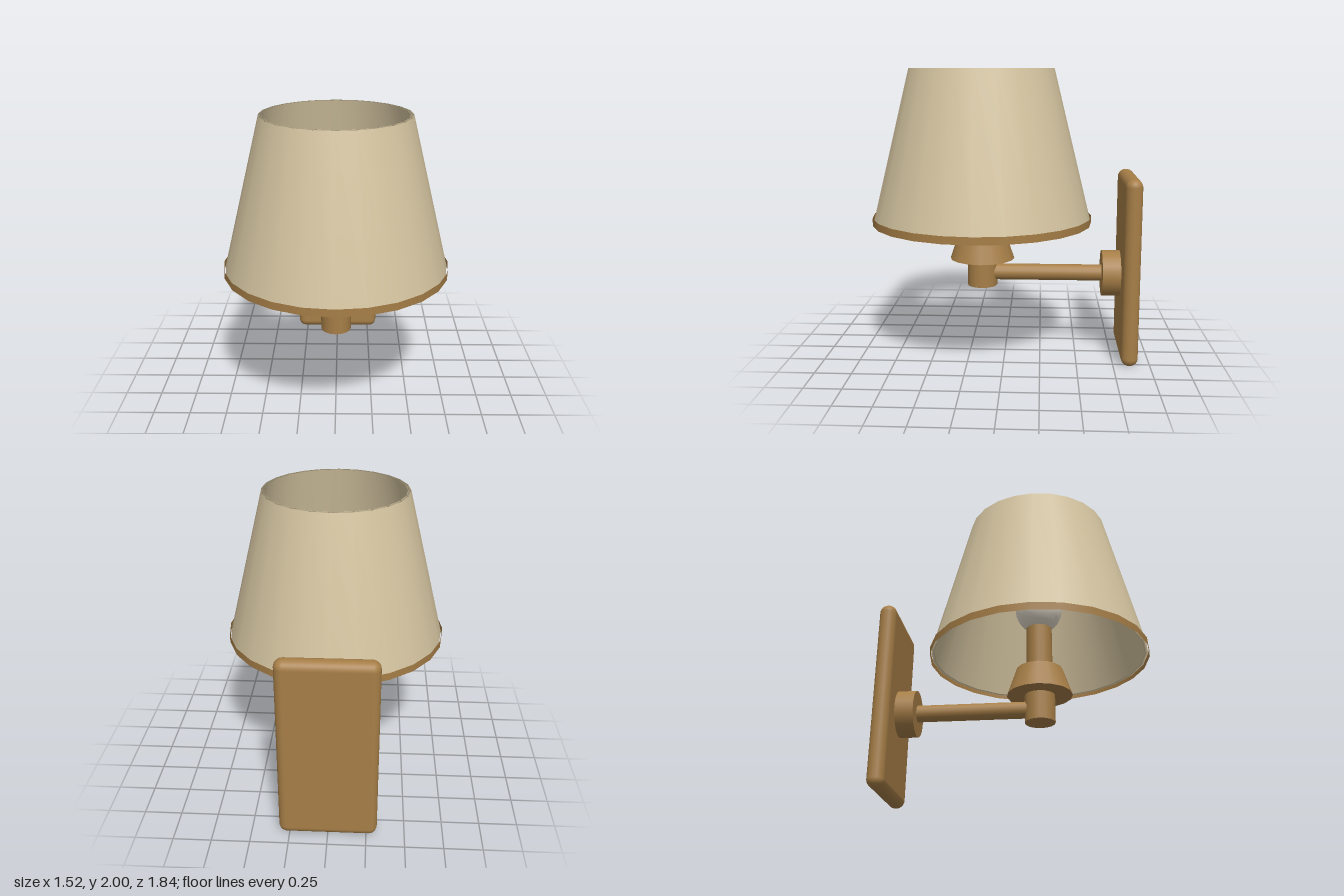
import * as THREE from 'three';
import { RoundedBoxGeometry } from 'three/addons/geometries/RoundedBoxGeometry.js';

const AXIS_Z = 0.16; // vertical axis of shade, bulb and socket
const ARM_Y = 0.585;

export function createModel() {
  const model = new THREE.Group();
  model.name = 'wallLamp';

  const brass = new THREE.MeshStandardMaterial({ color: 0xa67e47, side: THREE.DoubleSide });
  brass.name = 'brass';
  const linen = new THREE.MeshStandardMaterial({ color: 0xd4c4a0 });
  linen.name = 'linen';
  const glass = new THREE.MeshStandardMaterial({ color: 0xe8e0d0 });
  glass.name = 'bulb glass';

  const add = (name, geometry, material, x, y, z) => {
    const mesh = new THREE.Mesh(geometry, material);
    mesh.name = name;
    mesh.position.set(x, y, z);
    model.add(mesh);
    return mesh;
  };

  // Upright cylinder or cone on the lamp axis, between two heights
  const turned = (name, rTop, rBottom, y0, y1, sides = 16, open = false) =>
    add(name, new THREE.CylinderGeometry(rTop, rBottom, y1 - y0, sides, 1, open),
      brass, 0, (y0 + y1) / 2, AXIS_Z);

  // Cylinder lying along z, between two depths
  const lying = (name, radius, z0, z1, sides) => {
    const geometry = new THREE.CylinderGeometry(radius, radius, z1 - z0, sides);
    geometry.rotateX(Math.PI / 2);
    return add(name, geometry, brass, 0, ARM_Y, (z0 + z1) / 2);
  };

  // Wall mounting
  add('wallPlate', new RoundedBoxGeometry(0.64, 1.285, 0.115, 4, 0.055), brass, 0, 0.645, -0.86);
  lying('mountingBoss', 0.16, -0.82, -0.677, 24);
  lying('arm', 0.057, -0.7, 0.14, 16);

  // Socket, cup and candle tube
  turned('socket', 0.104, 0.104, 0.49, 0.70);
  turned('cup', 0.16, 0.225, 0.685, 0.875);
  turned('candleTube', 0.09, 0.09, 0.86, 1.19);

  add('bulb', new THREE.SphereGeometry(0.165, 16, 12), glass, 0, 1.34, AXIS_Z);

  // Thin-walled shade with softened edges
  const wall = [[0.728, 0.97], [0.75, 0.97], [0.494, 2], [0.472, 2], [0.728, 0.97]]
    .map(([r, y]) => new THREE.Vector2(r, y));
  add('shade', new THREE.LatheGeometry(wall, 24), linen, 0, 0, AXIS_Z);

  // Band around the lower edge of the shade
  turned('shadeBand', 0.758, 0.758, 0.945, 0.996, 24, true);

  return model;
}
